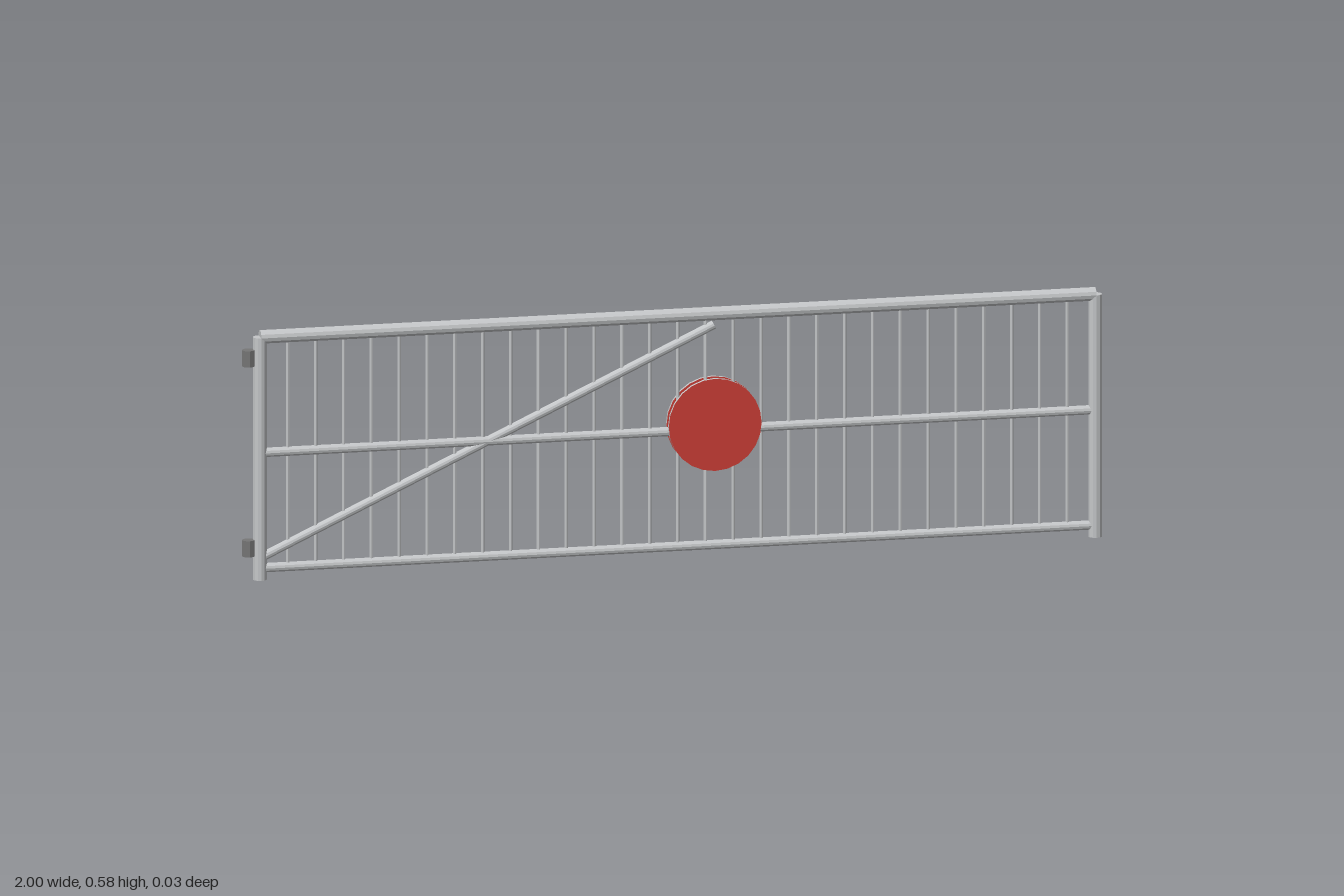
import * as THREE from 'three';

export function createModel() {
  const gate = new THREE.Group();
  gate.name = 'gate';

  const steel = new THREE.MeshStandardMaterial({ color: 0xc4c6c8, flatShading: true });
  steel.name = 'galvanised steel';
  const darkSteel = new THREE.MeshStandardMaterial({ color: 0x777777, flatShading: true });
  darkSteel.name = 'dark steel';
  const red = new THREE.MeshStandardMaterial({ color: 0xcc3e36 });
  red.name = 'sign red';

  const left = -0.958, right = 0.984, top = 0.568, bottom = 0.027;

  // Round bar between two points in the plane of the gate
  function bar(name, x1, y1, x2, y2, radius, material = steel, sides = 12) {
    const dir = new THREE.Vector3(x2 - x1, y2 - y1, 0);
    const geometry = new THREE.CylinderGeometry(radius, radius, dir.length(), sides);
    const mesh = new THREE.Mesh(geometry, material);
    mesh.position.set((x1 + x2) / 2, (y1 + y2) / 2, 0);
    mesh.quaternion.setFromUnitVectors(new THREE.Vector3(0, 1, 0), dir.normalize());
    mesh.name = name;
    gate.add(mesh);
  }

  // Frame: end posts and three rails
  bar('hingePost', left, 0, left, top, 0.016);
  bar('latchPost', right, 0, right, top, 0.016);
  bar('topRail', left, top, right, top, 0.016);
  bar('middleRail', left, 0.297, right, 0.297, 0.011);
  bar('bottomRail', left, bottom, right, bottom, 0.011);

  // Diagonal brace
  bar('brace', left, 0.05, 0.097, 0.542, 0.0105);

  // Thin upright infill bars
  const bays = 30;
  for (let i = 1; i < bays; i++) {
    const x = left + ((right - left) * i) / bays;
    bar('infillBar', x, bottom, x, top, 0.004, steel, 8);
  }

  // Hinge barrels
  for (const y of [0.075, 0.52]) {
    bar('hinge', -0.985, y - 0.019, -0.985, y + 0.019, 0.015, darkSteel, 8);
  }

  // Round sign: a red-faced plate with a bare steel edge on each side of the gate
  const plateGeometry = new THREE.CylinderGeometry(0.108, 0.108, 0.008, 24);
  for (const side of [1, -1]) {
    const plate = new THREE.Mesh(plateGeometry, [steel, red, red]);
    plate.rotation.x = Math.PI / 2;
    plate.position.set(0.097, 0.311, side * 0.012);
    plate.name = side > 0 ? 'signFront' : 'signBack';
    gate.add(plate);
  }

  return gate;
}
